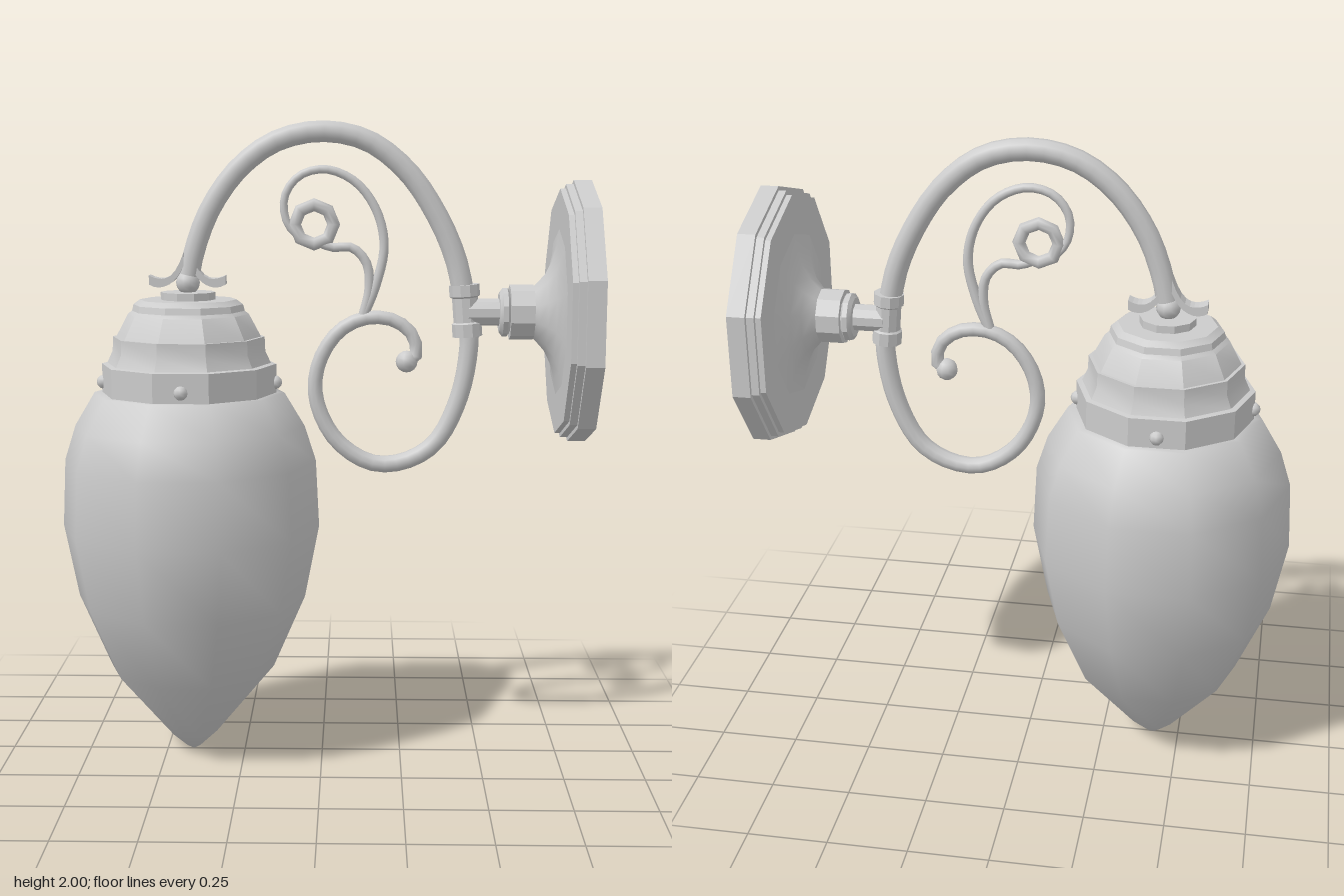
import * as THREE from 'three';
import { toCreasedNormals } from 'three/addons/utils/BufferGeometryUtils.js';

const SHADE_X = -0.415, MOUNT_Y = 1.417;

export function createModel() {
  const root = new THREE.Group();
  const mat = new THREE.MeshStandardMaterial({ color: 0xcccccc, side: THREE.DoubleSide });

  function add(name, geo, x = 0, y = 0, z = 0, parent = root) {
    const mesh = new THREE.Mesh(geo, mat);
    mesh.name = name;
    mesh.position.set(x, y, z);
    parent.add(mesh);
    return mesh;
  }

  // Ten-sided turned part; profile is [radius, height] from bottom to top
  function turned(profile, smooth = false) {
    const pts = profile.map(([r, h]) => new THREE.Vector2(r, h));
    const geo = new THREE.LatheGeometry(pts, 10, Math.PI / 2);
    return smooth ? geo : toCreasedNormals(geo, 0.5);
  }

  // Round bar along a flat curve, tapering from r0 to r1
  function bar(name, points, r0, r1, steps) {
    const curve = new THREE.CatmullRomCurve3(points.map(([x, y]) => new THREE.Vector3(x, y, 0)), false, 'centripetal');
    const sides = 10;
    const geo = new THREE.TubeGeometry(curve, steps, 1, sides);
    const pos = geo.attributes.position, v = new THREE.Vector3();
    for (let i = 0; i <= steps; i++) {
      const c = curve.getPointAt(i / steps);
      const r = r0 + (r1 - r0) * i / steps;
      for (let j = 0; j <= sides; j++) {
        const k = i * (sides + 1) + j;
        v.fromBufferAttribute(pos, k).sub(c).multiplyScalar(r).add(c);
        pos.setXYZ(k, v.x, v.y, v.z);
      }
    }
    return add(name, geo);
  }

  // Hanging glass globe
  add('globe', turned([
    [0, 0], [0.025, 0.015], [0.075, 0.06], [0.26, 0.28], [0.36, 0.51],
    [0.405, 0.74], [0.395, 0.95], [0.36, 1.06], [0.297, 1.165], [0.25, 1.165],
  ], true), SHADE_X);

  // Stepped cap above the globe
  add('cap', turned([
    [0, 1.163], [0.272, 1.163], [0.272, 1.255], [0.255, 1.258], [0.238, 1.295],
    [0.236, 1.34], [0.226, 1.34], [0.219, 1.297], [0.219, 1.34], [0.2, 1.34],
    [0.19, 1.34], [0.225, 1.34], [0.188, 1.41], [0.175, 1.42], [0.17, 1.44],
    [0.15, 1.455], [0.085, 1.455], [0.085, 1.478], [0, 1.478],
  ].filter((p, i) => i < 6 || i > 10)), SHADE_X);

  // Screws around the cap rim
  for (let i = 0; i < 4; i++) {
    const a = i * Math.PI / 2, r = i % 2 ? 0.257 : 0.268;
    add('screw', new THREE.SphereGeometry(0.022, 8, 6), SHADE_X + r * Math.cos(a), 1.197, r * Math.sin(a));
  }

  // Knuckle and curling leaves where the arm meets the cap
  add('knuckle', new THREE.SphereGeometry(0.037, 10, 8), SHADE_X, 1.507);
  const leafShape = new THREE.Shape();
  leafShape.moveTo(0.01, 1.6);
  leafShape.quadraticCurveTo(0.035, 1.53, 0.065, 1.522);
  leafShape.quadraticCurveTo(0.09, 1.515, 0.118, 1.53);
  leafShape.lineTo(0.118, 1.502);
  leafShape.quadraticCurveTo(0.09, 1.485, 0.06, 1.5);
  leafShape.quadraticCurveTo(0.03, 1.515, 0.01, 1.56);
  const leafGeo = new THREE.ExtrudeGeometry(leafShape, { depth: 0.05, bevelEnabled: false, curveSegments: 4 });
  leafGeo.translate(0, 0, -0.025);
  for (const turn of [0, Math.PI]) add('leaf', leafGeo, SHADE_X).rotation.y = turn;

  // Main arched arm
  bar('arm', [
    [-0.41, 1.53], [-0.395, 1.6], [-0.345, 1.73], [-0.255, 1.855], [-0.14, 1.937], [0, 1.966],
    [0.14, 1.937], [0.26, 1.845], [0.35, 1.715], [0.41, 1.58], [0.445, 1.42],
  ], 0.033, 0.035, 28);

  // Lower scroll with a rounded tip
  bar('lowerScroll', [
    [0.445, 1.42], [0.455, 1.33], [0.425, 1.15], [0.35, 1.005], [0.25, 0.947], [0.15, 0.945], [0.04, 1.02],
    [-0.02, 1.15], [-0.01, 1.26], [0.05, 1.355], [0.13, 1.397], [0.22, 1.392], [0.28, 1.345], [0.29, 1.28], [0.26, 1.26],
  ], 0.031, 0.02, 40);
  add('scrollTip', new THREE.SphereGeometry(0.034, 10, 8), 0.262, 1.263);

  // Upper scroll curling into a ring
  bar('upperScroll', [
    [0.125, 1.4], [0.165, 1.5], [0.19, 1.62], [0.165, 1.73], [0.1, 1.815], [0.01, 1.852],
    [-0.07, 1.832], [-0.115, 1.77], [-0.108, 1.69], [-0.06, 1.635],
  ], 0.016, 0.012, 32);
  add('scrollRing', new THREE.TorusGeometry(0.06, 0.02, 8, 8), -0.025, 1.685);
  bar('innerTendril', [[0.125, 1.4], [0.145, 1.49], [0.135, 1.57], [0.09, 1.615], [0.03, 1.615], [-0.01, 1.63]], 0.016, 0.014, 14);

  // Banded sleeve that joins arm and wall mount
  const sleeve = new THREE.Group();
  sleeve.name = 'sleeve';
  sleeve.position.set(0.443, 1.422, 0);
  sleeve.rotation.z = 0.08;
  root.add(sleeve);
  add('sleeveCore', turned([[0, -0.08], [0.046, -0.08], [0.046, -0.04], [0.04, -0.035],
    [0.04, 0.04], [0.047, 0.045], [0.047, 0.08], [0, 0.08]]), 0, 0, 0, sleeve);

  // Wall mount turned about a horizontal axis; heights here run along x
  const mount = new THREE.Group();
  mount.name = 'wallMount';
  mount.position.y = MOUNT_Y;
  mount.rotation.z = -Math.PI / 2;
  root.add(mount);
  add('stub', turned([[0, 0.45], [0.042, 0.45], [0.042, 0.545], [0.062, 0.545], [0.075, 0.555],
    [0.075, 0.57], [0.065, 0.577], [0.085, 0.577], [0.085, 0.65], [0, 0.65]]), 0, 0, 0, mount);
  add('flare', turned([[0.075, 0.645], [0.09, 0.66], [0.118, 0.685], [0.16, 0.706], [0.21, 0.719], [0.27, 0.727]], true), 0, 0, 0, mount);
  add('backPlate', turned([[0, 0.725], [0.377, 0.725], [0.377, 0.742], [0.39, 0.742], [0.39, 0.765],
    [0.403, 0.765], [0.403, 0.82], [0, 0.82]]), 0, 0, 0, mount);

  return root;
}
